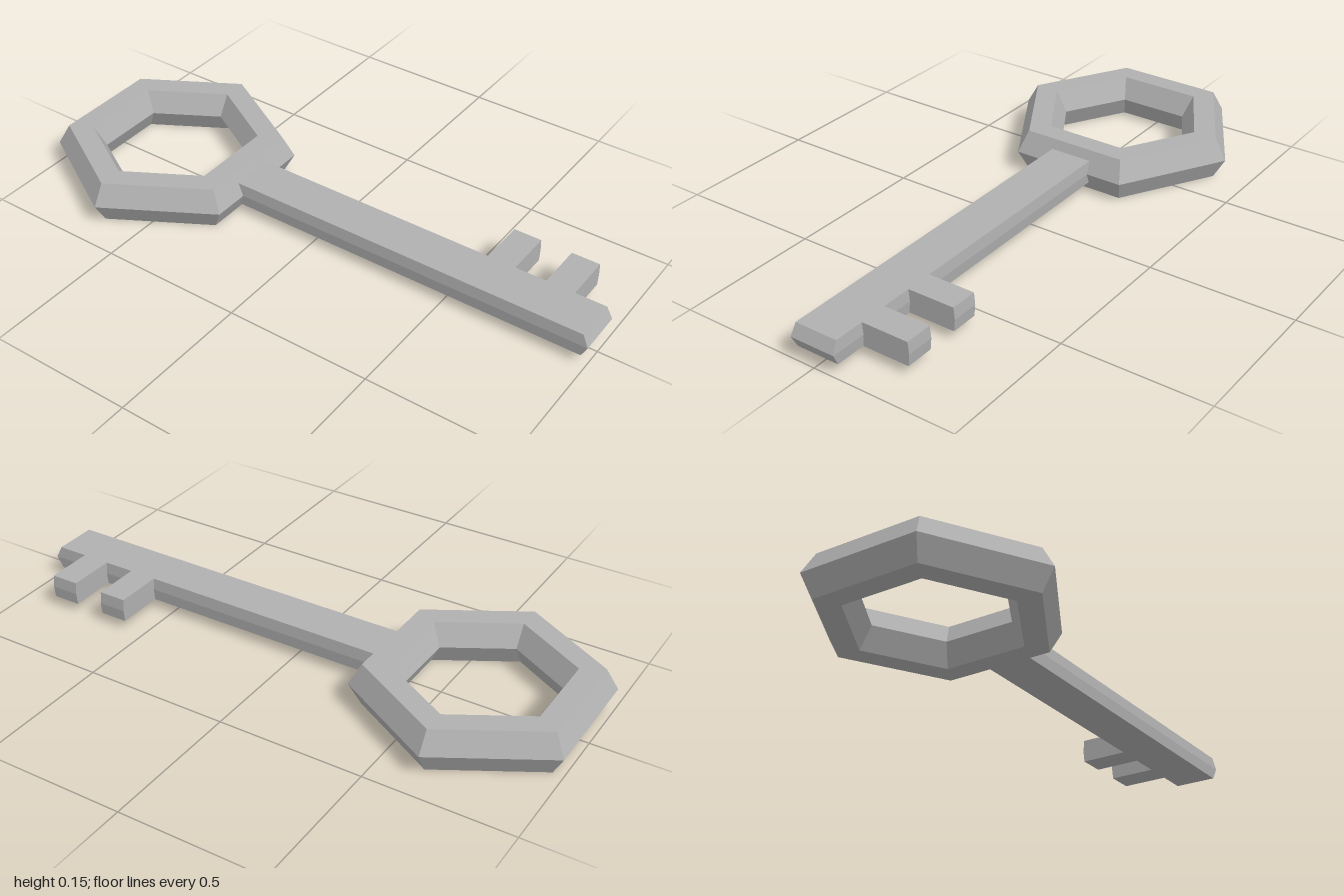
import * as THREE from 'three';

export function createModel() {
  const key = new THREE.Group();
  key.name = 'key';
  const metal = new THREE.MeshStandardMaterial({ color: 0xb0b0b0, flatShading: true });
  metal.name = 'grey metal';

  // Hexagonal bow with a six-sided section
  const bow = new THREE.Mesh(new THREE.TorusGeometry(0.331, 0.085, 6, 6).rotateX(Math.PI / 2), metal);
  bow.name = 'bow';
  bow.position.set(0, 0.0736, -0.64);
  key.add(bow);

  // Shaft and the two teeth as one outline, given as [x, z]
  const outline = [[-0.077, 0.98], [0.075, 0.98]];
  for (const [front, back] of [[0.873, 0.775], [0.667, 0.57]]) {
    outline.push([0.075, front], [0.241, front], [0.241, back], [0.075, back]);
  }
  outline.push([0.075, -0.33], [-0.077, -0.33]);
  const shape = new THREE.Shape(outline.map(([x, z]) => new THREE.Vector2(x, -z)));
  const bottom = 0.033, height = 0.082;
  const blade = new THREE.ExtrudeGeometry(shape, { depth: height, steps: 2, bevelEnabled: false });
  blade.rotateX(-Math.PI / 2);

  // Push the middle edge outwards for the pointed rim
  const p = blade.attributes.position;
  for (let i = 0; i < p.count; i++) {
    if (Math.abs(p.getY(i) - height / 2) > 0.001) continue;
    p.setX(i, p.getX(i) + Math.sign(p.getX(i)) * 0.004);
    if (p.getZ(i) > 0.9) p.setZ(i, 1);
  }
  blade.computeVertexNormals();
  const shaft = new THREE.Mesh(blade, metal);
  shaft.name = 'shaftAndTeeth';
  shaft.position.y = bottom;
  key.add(shaft);

  return key;
}
